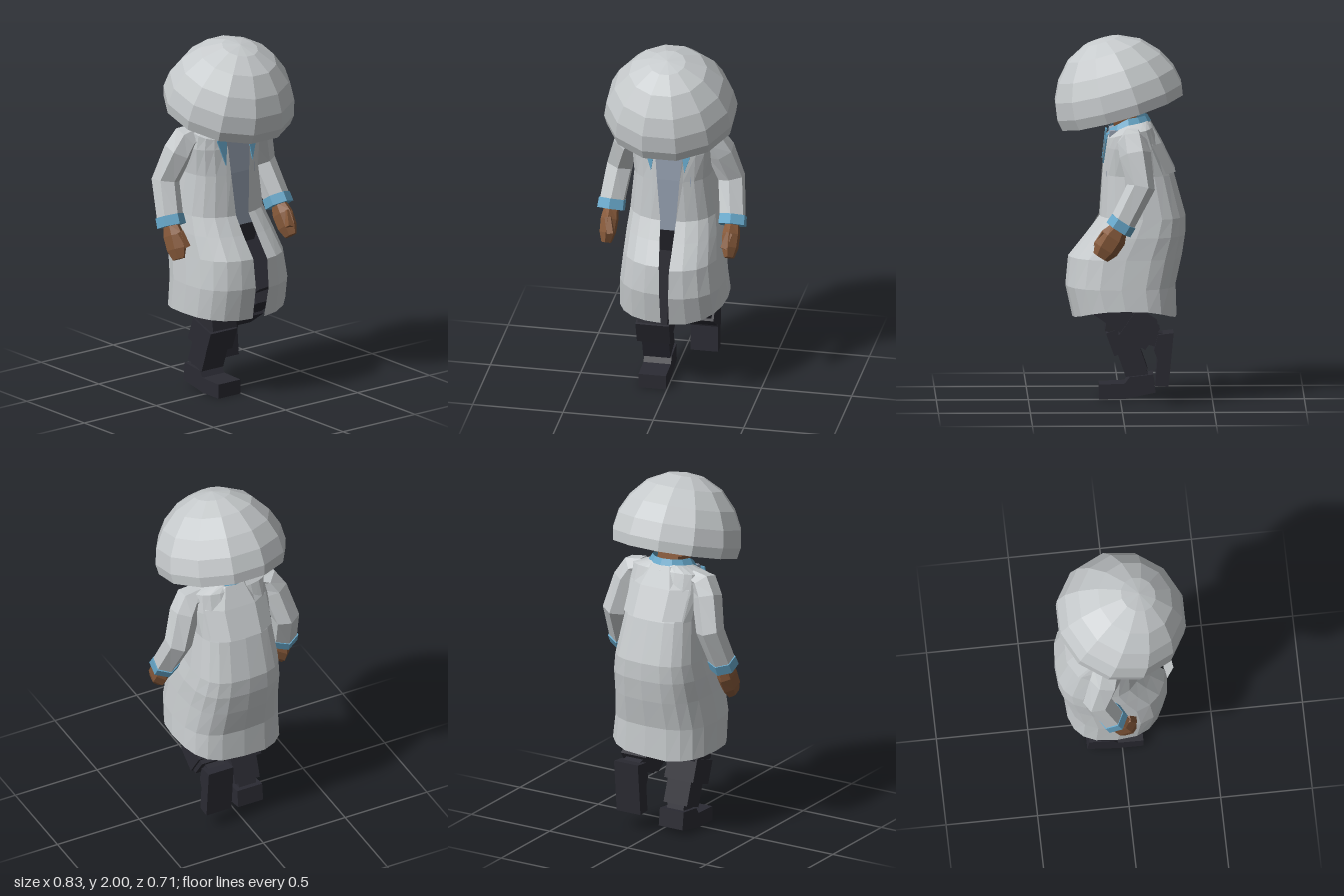
import * as THREE from 'three';

const mat = (name, color) => Object.assign(
  new THREE.MeshStandardMaterial({ color, flatShading: true, side: THREE.DoubleSide }), { name });
const V = (x, y, z) => new THREE.Vector3(x, y, z);

export function createModel() {
  const model = new THREE.Group();
  const cloth = mat('pale grey cloth', 0xc6cacc);
  const lining = mat('blue grey shirt', 0x96a1b1);
  const blue = mat('blue trim', 0x66a6c8);
  const skin = mat('brown skin', 0x86593a);
  const dark = mat('dark trousers', 0x2b2b33);

  const add = (name, geo, material, parent = model) => {
    const mesh = new THREE.Mesh(geo, material);
    mesh.name = name;
    parent.add(mesh);
    return mesh;
  };

  // Skin a surface over rings of equal point count; cap closes the ends
  const loft = (rings, closed = true, cap = false) => {
    const n = rings[0].length, pos = [], idx = [];
    rings.forEach(r => r.forEach(p => pos.push(p.x, p.y, p.z)));
    for (let r = 0; r < rings.length - 1; r++)
      for (let i = 0; i < (closed ? n : n - 1); i++) {
        const a = r * n + i, b = r * n + (i + 1) % n;
        idx.push(a, b, a + n, b, b + n, a + n);
      }
    if (cap) for (const base of [0, (rings.length - 1) * n])
      for (let i = 1; i < n - 1; i++)
        base ? idx.push(base, base + i, base + i + 1) : idx.push(base, base + i + 1, base + i);
    const g = new THREE.BufferGeometry();
    g.setAttribute('position', new THREE.Float32BufferAttribute(pos, 3));
    g.setIndex(idx);
    g.computeVertexNormals();
    return g;
  };

  // Tapered limb along a path; radii are [x, z] pairs
  const limb = (path, radii, sides) => loft(path.map((p, i) => {
    const dir = path[Math.min(i + 1, path.length - 1)].clone().sub(path[Math.max(i - 1, 0)]).normalize();
    const q = new THREE.Quaternion().setFromUnitVectors(V(0, -1, 0), dir);
    return Array.from({ length: sides }, (_, k) => {
      const t = (k + 0.5) / sides * Math.PI * 2;
      return V(radii[i][0] * Math.cos(t), 0, radii[i][1] * Math.sin(t)).applyQuaternion(q).add(p);
    });
  }), true, true);

  // Box running between two points
  const beam = (name, a, b, w, d, material) => {
    const dir = b.clone().sub(a);
    const mesh = add(name, new THREE.BoxGeometry(w, dir.length(), d), material);
    mesh.position.copy(a).add(b).multiplyScalar(0.5);
    mesh.quaternion.setFromUnitVectors(V(0, -1, 0), dir.normalize());
  };

  // Side profile of [z, y] points, extruded from x0 to x1
  const slab = (name, pts, x0, x1, material) => {
    const g = new THREE.ExtrudeGeometry(new THREE.Shape(pts.map(p => new THREE.Vector2(...p))),
      { depth: x1 - x0, bevelEnabled: false });
    add(name, g.rotateY(-Math.PI / 2).translate(x1, 0, 0), material);
  };

  // Domed hat, tilted forward, with the head under it
  const hat = new THREE.Group();
  hat.name = 'headAndHat';
  hat.position.set(0, 1.585, -0.011);
  hat.rotation.x = 0.288;
  model.add(hat);
  const dome = [[0.353, 0], [0.364, 0.06], [0.347, 0.155], [0.298, 0.25], [0.213, 0.344], [0.1, 0.402], [0, 0.417]];
  const domeGeo = s => new THREE.LatheGeometry(
    dome.map(p => new THREE.Vector2(p[0] * s, p[1] * s)), 12, Math.PI / 12);
  add('hatDome', domeGeo(1), cloth, hat);
  add('hatLining', domeGeo(0.985), lining, hat);
  add('head', new THREE.BoxGeometry(0.22, 0.2, 0.22).translate(0, 0.11, 0.01), skin, hat);
  add('jaw', new THREE.BoxGeometry(0.17, 0.06, 0.17).translate(0, -0.005, 0.02), skin, hat);
  for (const s of [-1, 1])
    add('ear', new THREE.BoxGeometry(0.03, 0.06, 0.045).translate(s * 0.122, 0.08, -0.01), skin, hat);
  beam('neck', V(0, 1.62, -0.01), V(0, 1.45, -0.04), 0.13, 0.13, skin);

  // Shirt body and hips
  slab('shirt', [[0.06, 1.49], [-0.13, 1.51], [-0.2, 1.2], [-0.22, 0.95], [0.085, 0.95], [0.078, 1.25]], -0.115, 0.125, lining);
  slab('hips', [[0.08, 0.955], [-0.23, 0.955], [-0.22, 0.78], [0.03, 0.8]], -0.14, 0.15, dark);

  // Long open coat: y, half width, centre x, front z (+x side, -x side), back z, opening x (+, -)
  const rows = [
    [1.525, 0.12, 0, 0.05, 0.05, -0.15, 0.09, -0.08],
    [1.492, 0.215, 0, 0.078, 0.078, -0.175, 0.09, -0.08],
    [1.4, 0.225, 0, 0.088, 0.088, -0.215, 0.08, -0.07],
    [1.25, 0.215, 0, 0.1, 0.1, -0.29, 0.066, -0.058],
    [1.02, 0.245, 0.005, 0.115, 0.115, -0.353, 0.05, -0.037],
    [0.92, 0.26, 0.008, 0.19, 0.17, -0.353, 0.047, -0.03],
    [0.8, 0.27, 0.01, 0.285, 0.245, -0.335, 0.044, -0.02],
    [0.64, 0.288, 0.012, 0.3, 0.26, -0.3, 0.042, -0.015],
    [0.485, 0.297, 0.015, 0.262, 0.23, -0.305, 0.04, -0.013],
  ];
  const N = 20;
  const pow = (v, e) => Math.sign(v) * Math.abs(v) ** e;
  add('coat', loft(rows.map(([y, hw, cx, zl, zr, zb, ol, or], r) =>
    Array.from({ length: N + 1 }, (_, i) => {
      const t = i / N * Math.PI * 2, s = Math.sin(t), c = Math.cos(t);
      const zf = i <= N / 2 ? zl : zr, mid = (zf + zb) / 2, e = c < 0 ? 0.7 : 0.8;
      const x = i === 0 ? ol : i === N ? or : cx + hw * pow(s, e);
      const hem = (s > 0 ? 0.04 : 0) * s * s - 0.018 * c * c - (s < 0 ? 0.01 : 0);
      const lift = r < 2 ? (c > 0 ? -0.045 : -0.015) * c : r === rows.length - 1 ? hem : 0;
      return V(x, y + lift, mid + (zf - mid) * pow(c, e));
    })), false), cloth);

  // Cape flap across the shoulder blades
  add('backYoke', loft([[1.53, 0.11, -0.158], [1.42, 0.185, -0.218], [1.262, 0.185, -0.294]].map(([y, w, z]) =>
    [1, 0.5, -0.5, -1].map(k => V(w * k, y, z + (Math.abs(k) === 1 ? 0.05 : -0.004)))), false), cloth);

  // Collar band, open at the throat and dipping to the front
  add('collarBand', loft([[1.556, 0.112], [1.522, 0.132]].map(([y, r]) =>
    Array.from({ length: 11 }, (_, i) => {
      const t = 0.6 + i / 10 * (Math.PI * 2 - 1.2), c = Math.cos(t);
      return V(r * Math.sin(t), y - (c > 0 ? 0.07 : 0.01) * c, -0.035 + r * c);
    })), false), blue);

  // Collar points lying flat on the chest
  for (const s of [-1, 1]) {
    const tri = new THREE.Shape([[0.068, 0.165], [0.135, 0.165], [0.138, 0.14], [0.092, 0]]
      .map(p => new THREE.Vector2(s * p[0], p[1])));
    const point = add('collarPoint', new THREE.ExtrudeGeometry(tri, { depth: 0.008, bevelEnabled: false }), blue);
    point.position.set(0, 1.31, 0.092);
    point.rotation.x = -0.13;
  }

  // Arms: shoulder, upper arm, elbow, wrist and hand tip
  const arms = [
    { side: 'left', p: [V(0.16, 1.475, -0.06), V(0.225, 1.45, -0.06), V(0.262, 1.38, -0.075), V(0.315, 1.21, -0.105), V(0.342, 1.01, 0)], tip: V(0.343, 0.83, 0.115) },
    { side: 'right', p: [V(-0.16, 1.475, -0.075), V(-0.225, 1.45, -0.085), V(-0.262, 1.38, -0.105), V(-0.312, 1.21, -0.155), V(-0.342, 1.01, -0.075)], tip: V(-0.355, 0.81, 0.015) },
  ];
  for (const { side, p, tip } of arms) {
    add(side + 'Sleeve', limb(p, [[0.045, 0.06], [0.075, 0.08], [0.08, 0.086], [0.077, 0.077], [0.074, 0.07]], 6), cloth);
    const w = p[4], along = f => w.clone().lerp(tip, f);
    add(side + 'Cuff', limb([along(-0.1), along(0.16)], [[0.08, 0.075], [0.082, 0.077]], 6), blue);
    add(side + 'Hand', limb([along(0.1), along(0.4), along(0.75), along(1)],
      [[0.04, 0.046], [0.05, 0.073], [0.046, 0.07], [0.028, 0.046]], 6), skin);
    beam(side + 'Thumb', along(0.3).add(V(0, 0.01, 0.055)), along(0.66).add(V(Math.sign(-w.x) * 0.025, 0, 0.06)), 0.035, 0.035, skin);
  }

  // Planted right leg
  beam('rightThigh', V(-0.08, 0.88, -0.09), V(-0.088, 0.36, 0.005), 0.165, 0.16, dark);
  beam('rightKnee', V(-0.09, 0.39, 0.0), V(-0.09, 0.265, -0.045), 0.185, 0.165, dark);
  beam('rightShin', V(-0.085, 0.34, -0.02), V(-0.085, 0.14, -0.09), 0.15, 0.125, dark);
  beam('rightAnkle', V(-0.085, 0.17, -0.085), V(-0.085, 0.08, -0.115), 0.105, 0.1, dark);
  slab('rightShoe', [[0.115, 0], [0.115, 0.08], [-0.025, 0.085], [-0.05, 0.12], [-0.18, 0.135], [-0.192, 0.035], [-0.02, 0]], -0.158, -0.006, dark);

  // Raised left leg, shin folded back and toe pointing down
  beam('leftThigh', V(0.112, 0.88, -0.09), V(0.14, 0.56, 0.13), 0.16, 0.16, dark);
  beam('leftShin', V(0.145, 0.57, 0.13), V(0.145, 0.36, -0.17), 0.16, 0.14, dark);
  beam('leftBootTop', V(0.145, 0.455, -0.035), V(0.145, 0.375, -0.15), 0.185, 0.17, dark);
  beam('leftAnkle', V(0.145, 0.37, -0.15), V(0.145, 0.345, -0.23), 0.105, 0.08, dark);
  slab('leftShoe', [[-0.2, 0.385], [-0.285, 0.395], [-0.257, 0.1], [-0.185, 0.105], [-0.197, 0.25], [-0.178, 0.3]], 0.07, 0.222, dark);

  return model;
}
